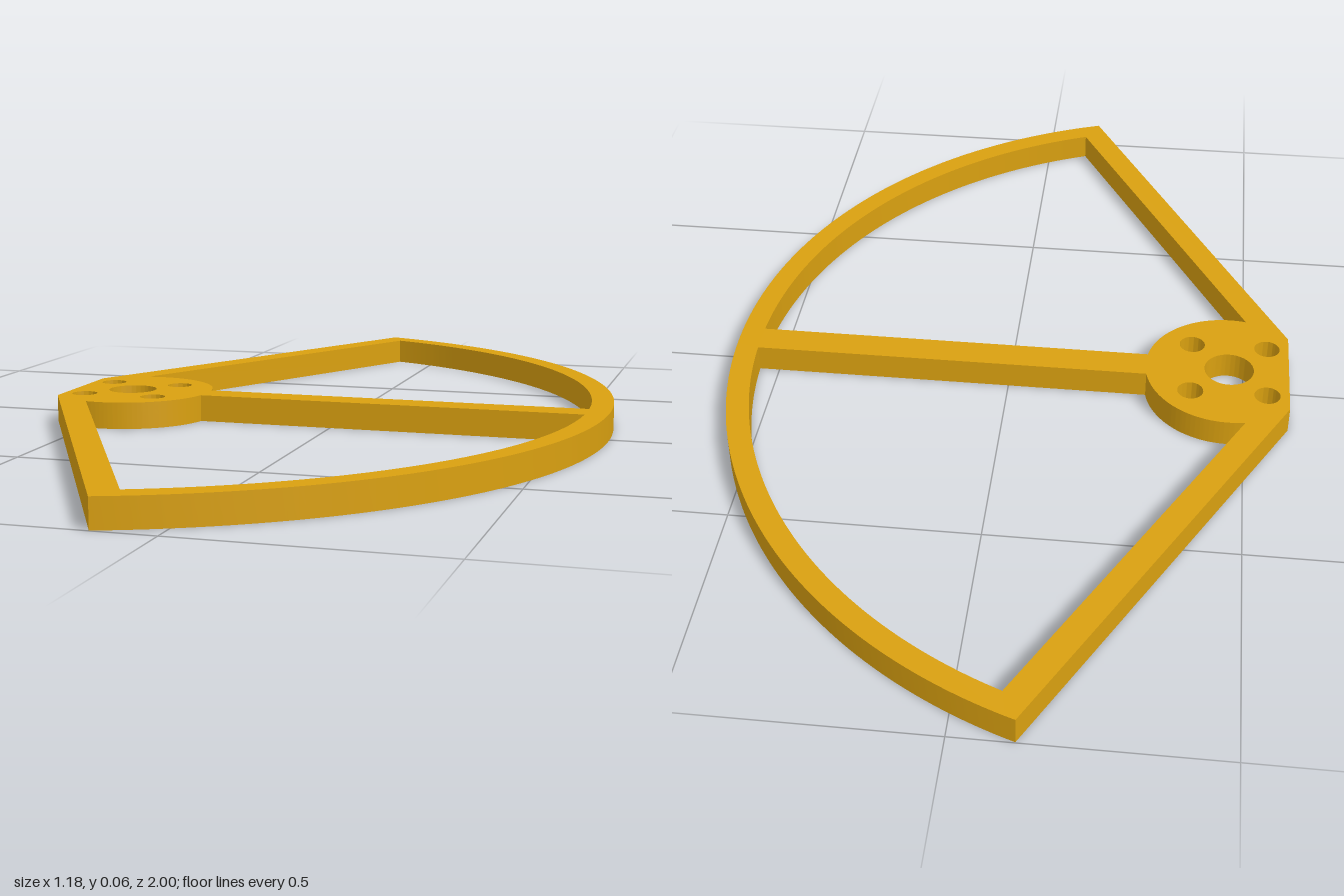
import * as THREE from 'three';
import { toCreasedNormals } from 'three/addons/utils/BufferGeometryUtils.js';

const HUB_X = -0.467;      // centre shared by the hub and the rim
const HUB_R = 0.177;
const RIM_OUT = 1.057;
const RIM_IN = 1.01;
const SPOKE_HALF = 0.034;
const ARM_ANGLE = Math.atan2(0.88, 0.473);
const ARM_INNER = 0.113;   // distance of the arm's inner edge from the hub centre
const HEIGHT = 0.057;

// Round hole, in hub-centred coordinates
function roundHole(x, y, r) {
  const path = new THREE.Path();
  path.absarc(x, y, r, 0, Math.PI * 2, true);
  return path;
}

// Opening bounded by spoke, rim, arm and hub; side = 1 or -1 mirrors it
function opening(side) {
  const spokeAngle = (r) => side * Math.asin(SPOKE_HALF / r);
  const armAngle = (r) => side * (ARM_ANGLE + Math.asin(ARM_INNER / r));
  const path = new THREE.Path();
  path.absarc(0, 0, RIM_IN, spokeAngle(RIM_IN), armAngle(RIM_IN), side < 0);
  path.absarc(0, 0, HUB_R, armAngle(HUB_R), spokeAngle(HUB_R), side > 0);
  path.closePath();
  return path;
}

export function createModel() {
  const group = new THREE.Group();
  group.name = 'propellerGuard';

  // Outline: flat back edge, two straight arms and the outer rim arc
  const outline = new THREE.Shape();
  const tip = Math.atan2(1, 0.347);
  outline.moveTo(-0.126, 0.12);
  outline.lineTo(-0.126, -0.12);
  outline.absarc(0, 0, RIM_OUT, -tip, tip, false);
  outline.closePath();

  // Openings beside the spoke, shaft hole and four screw holes
  outline.holes.push(opening(1), opening(-1), roundHole(0, 0, 0.052));
  for (const x of [-0.08, 0.08]) {
    for (const y of [-0.08, 0.08]) outline.holes.push(roundHole(x, y, 0.027));
  }

  const plate = new THREE.ExtrudeGeometry(outline, { depth: HEIGHT, bevelEnabled: false, curveSegments: 64 });
  plate.rotateX(-Math.PI / 2);
  plate.translate(HUB_X, 0, 0);

  const frame = new THREE.Mesh(
    toCreasedNormals(plate, Math.PI / 7),
    new THREE.MeshStandardMaterial({ color: 0xd9a010 })
  );
  frame.name = 'guardFrame';
  group.add(frame);
  return group;
}
